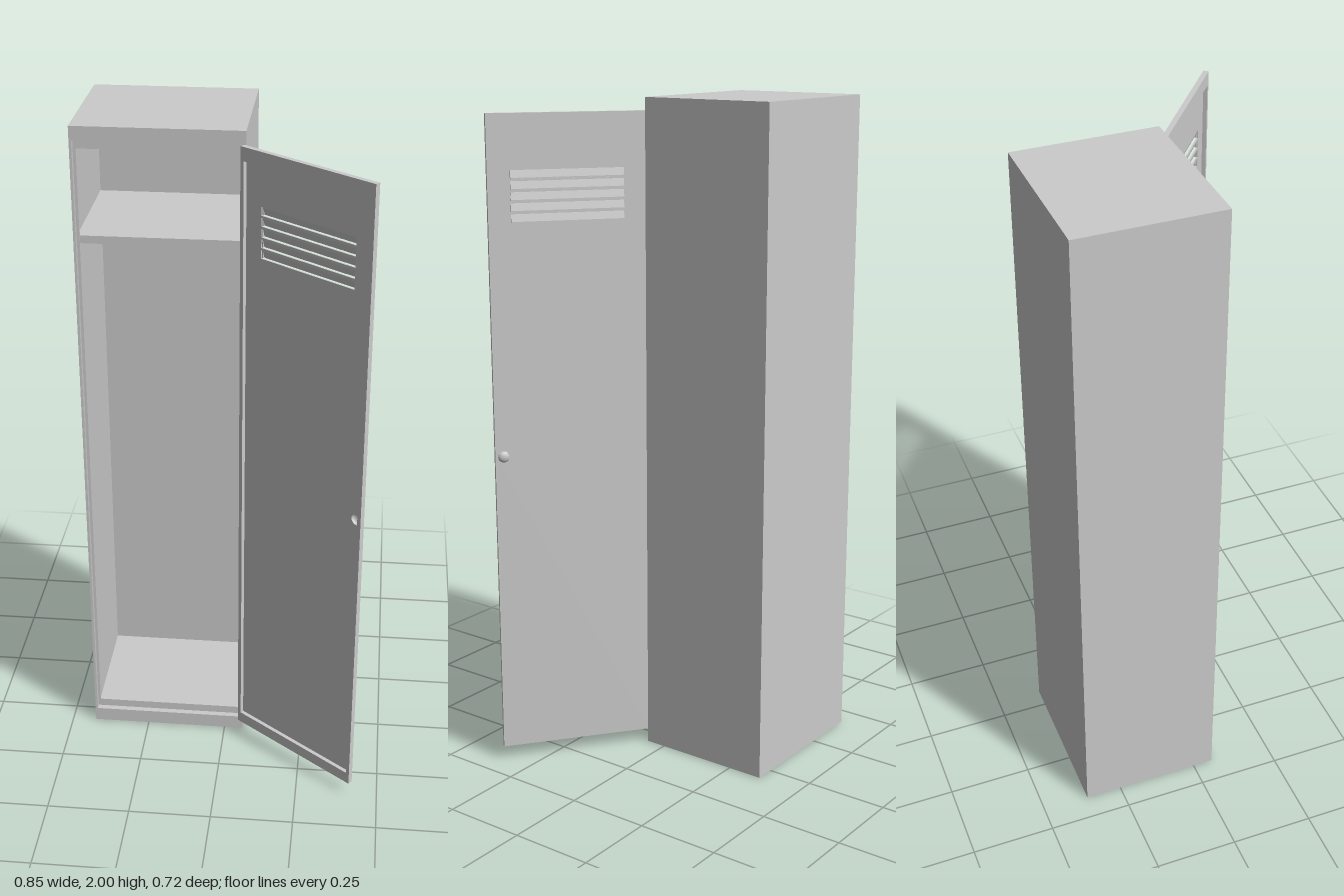
import * as THREE from 'three';

const material = new THREE.MeshStandardMaterial({ color: 0xcccccc, side: THREE.DoubleSide });

function add(parent, name, geometry, x = 0, y = 0, z = 0) {
  const mesh = new THREE.Mesh(geometry, material);
  mesh.name = name;
  mesh.position.set(x, y, z);
  parent.add(mesh);
  return mesh;
}

// Box given by its limits
function block(parent, name, x0, x1, y0, y1, z0, z1) {
  return add(parent, name, new THREE.BoxGeometry(x1 - x0, y1 - y0, z1 - z0),
    (x0 + x1) / 2, (y0 + y1) / 2, (z0 + z1) / 2);
}

function rect(Type, x0, x1, y0, y1) {
  return new Type([[x0, y0], [x1, y0], [x1, y1], [x0, y1]].map(p => new THREE.Vector2(...p)));
}

// Rectangle [x0, x1, y0, y1] with holes, extruded from z0 to z1
function plate(parent, name, outer, holes, z0, z1) {
  const shape = rect(THREE.Shape, ...outer);
  shape.holes = holes;
  const geometry = new THREE.ExtrudeGeometry(shape, { depth: z1 - z0, bevelEnabled: false, curveSegments: 16 });
  return add(parent, name, geometry, 0, 0, z0);
}

// Side profile (outward, up) extruded along the door width
function profile(points, length) {
  const shape = new THREE.Shape(points.map(p => new THREE.Vector2(...p)));
  return new THREE.ExtrudeGeometry(shape, { depth: length, bevelEnabled: false }).rotateY(Math.PI / 2);
}

function createCabinet() {
  const cabinet = new THREE.Group();
  cabinet.name = 'cabinet';
  const inside = [-0.418, 0.052, 0.045, 1.96];
  plate(cabinet, 'shell', [-0.425, 0.06, 0, 2], [rect(THREE.Path, ...inside)], -0.36, 0.062);
  block(cabinet, 'backPanel', ...inside, -0.36, -0.354);
  // Door stop set back behind the front edge
  plate(cabinet, 'doorStop', inside, [rect(THREE.Path, -0.41, 0.044, 0.07, 1.932)], 0.038, 0.044);
  block(cabinet, 'shelf', -0.418, 0.052, 1.672, 1.678, -0.354, 0.036);
  block(cabinet, 'shelfFrontLip', -0.418, 0.052, 1.655, 1.678, 0.031, 0.037);
  return cabinet;
}

function createDoor() {
  const door = new THREE.Group();
  door.name = 'door';
  const width = 0.463, bottom = 0.042, top = 1.962;
  const slotStart = 0.068, slotEnd = 0.398, slats = 5, pitch = 0.031, slotHeight = 0.025;
  const pullX = 0.438, pullY = 0.97, pullRadius = 0.017;

  // Outer skin with louvre slots and a finger pull hole
  const holes = [];
  for (let i = 0; i < slats; i++) {
    const y = 1.655 + i * pitch;
    holes.push(rect(THREE.Path, slotStart, slotEnd, y, y + slotHeight));
  }
  holes.push(new THREE.Path().absarc(pullX, pullY, pullRadius, 0, Math.PI * 2));
  plate(door, 'doorSkin', [0, width, bottom, top], holes, 0, 0.004);

  // Folded rim on the inner side
  plate(door, 'doorRim', [0, width, bottom, top],
    [rect(THREE.Path, 0.012, width - 0.012, bottom + 0.036, top - 0.04)], 0.004, 0.016);

  // Sloping louvres, open at the bottom, closed at both ends
  for (let i = 0; i < slats; i++) {
    const y = 1.655 + i * pitch;
    const high = y + slotHeight, low = y + 0.001;
    const slat = [[0, high], [0, high - 0.004], [0.006, low], [0.008, low], [0.008, low + 0.003], [0.003, high]];
    add(door, 'louvre', profile(slat, slotEnd - slotStart), slotStart);
    const cheek = [[0, high], [0, low], [0.007, low]];
    for (const x of [slotStart, slotEnd - 0.003]) add(door, 'louvreEnd', profile(cheek, 0.003), x);
  }

  // Domed finger pull
  const dome = new THREE.SphereGeometry(pullRadius, 20, 8, 0, Math.PI * 2, 0, Math.PI / 2);
  dome.rotateX(-Math.PI / 2).scale(1, 1, 0.6);
  add(door, 'fingerPull', dome, pullX, pullY, 0);

  // Hinge knuckles
  for (let i = 0; i < 4; i++) {
    add(door, 'hinge', new THREE.CylinderGeometry(0.004, 0.004, 0.03, 10), 0, 0.49 + i * 0.34, 0.004);
  }

  // Swung wide open about the hinge edge
  door.position.set(0.055, 0, 0.062);
  door.rotation.y = -0.655;
  return door;
}

export function createModel() {
  const locker = new THREE.Group();
  locker.name = 'locker';
  locker.add(createCabinet(), createDoor());
  return locker;
}
